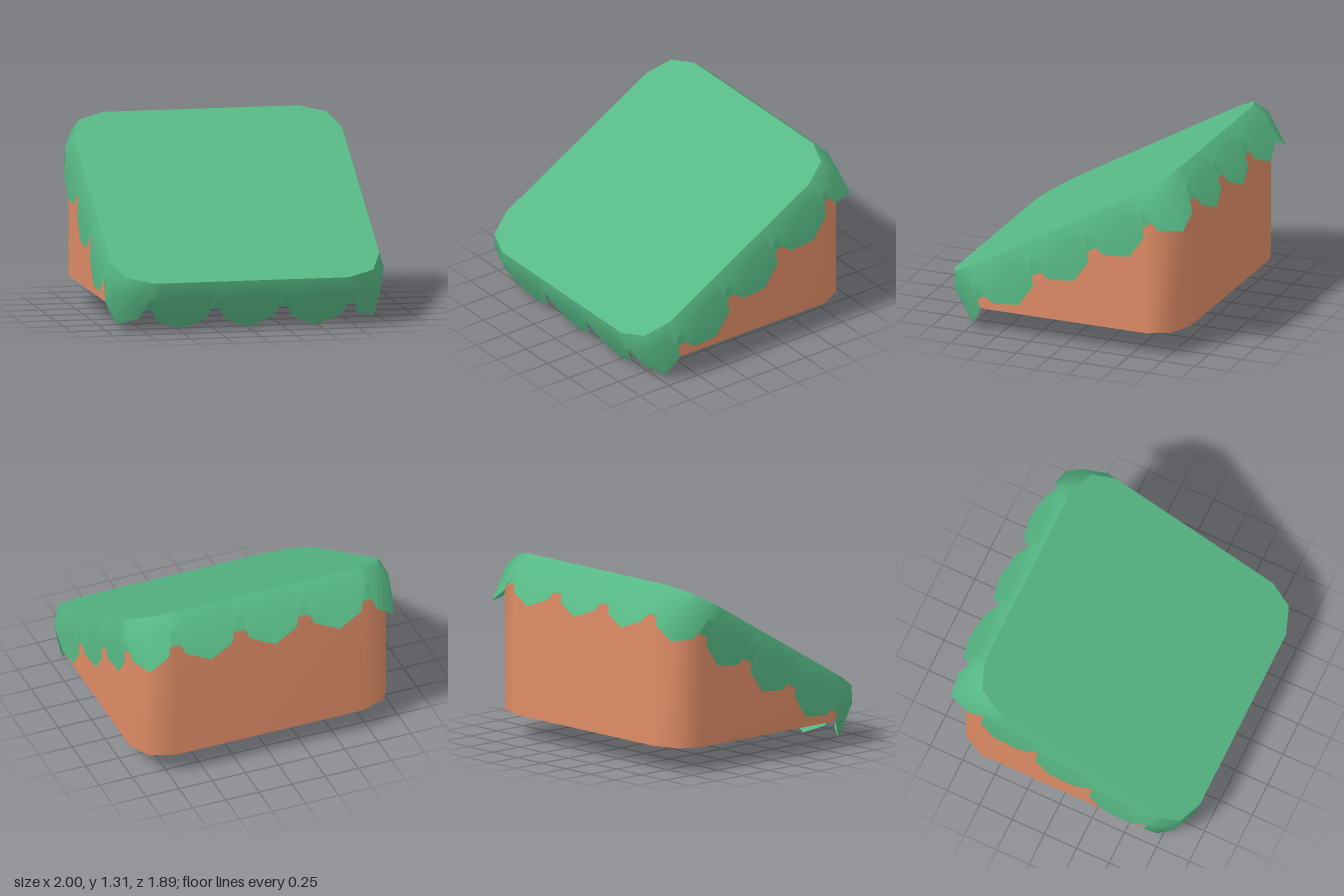
import * as THREE from 'three';

const SLOPE = Math.PI / 6;
const CENTRE_Y = 0.832, CENTRE_Z = 0.11;   // middle of the sloping top
const SLAB_DEPTH = 0.235, DIRT_BOTTOM = 0.18;

// Skirt hem along one side plus its corner: [x, z, depth]
function hemSide() {
  const notch = 0.13, shoulder = 0.3, tip = 0.38;
  const pts = [[-0.73, 1, notch]];
  for (const c of [-0.484, 0, 0.484]) {
    pts.push([c - 0.175, 1, shoulder], [c, 1, tip], [c + 0.175, 1, shoulder]);
    pts.push([c > 0.4 ? 0.73 : c + 0.242, 1, notch]);
  }
  pts.push([0.78, 0.979, shoulder], [0.92, 0.92, tip], [0.979, 0.78, shoulder]);
  return pts;
}

// Repeat a side four times, turning a quarter each time
function aroundSquare(side) {
  const out = [];
  let pts = side;
  for (let k = 0; k < 4; k++) {
    out.push(...pts);
    pts = pts.map(([x, z, d]) => [z, -x, d]);
  }
  return out;
}

function makeGeometry(points, index) {
  const g = new THREE.BufferGeometry();
  g.setAttribute('position', new THREE.Float32BufferAttribute(points.flat(), 3));
  g.setIndex(index);
  g.computeVertexNormals();
  return g;
}

// Smooth closed wall through rings listed from top to bottom
function wall(rings) {
  const n = rings[0].length, index = [];
  for (let r = 0; r < rings.length - 1; r++) {
    for (let i = 0; i < n; i++) {
      const j = (i + 1) % n;
      const a = r * n + i, b = r * n + j, c = a + n, d = b + n;
      index.push(c, d, b, c, b, a);
    }
  }
  return makeGeometry(rings.flat(), index);
}

// Flat face filling a convex ring
function face(ring, up) {
  const index = [];
  for (let i = 1; i < ring.length - 1; i++) {
    index.push(0, up ? i : i + 1, up ? i + 1 : i);
  }
  return makeGeometry(ring, index);
}

export function createModel() {
  const grass = new THREE.MeshStandardMaterial({ color: 0x57b985, side: THREE.DoubleSide });
  grass.name = 'grass green';
  const dirt = new THREE.MeshStandardMaterial({ color: 0xde8c66, side: THREE.DoubleSide });
  dirt.name = 'dirt brown';

  const model = new THREE.Group();
  model.name = 'grassySlopeBlock';
  const add = (parent, name, geometry, material) => {
    const mesh = new THREE.Mesh(geometry, material);
    mesh.name = name;
    parent.add(mesh);
  };

  const hem = aroundSquare(hemSide());
  const outline = aroundSquare([[-0.73, 1], [0.73, 1], [0.92, 0.92]]);
  const ringAt = (pts, scale, y) => pts.map(([x, z]) => [x * scale, y, z * scale]);

  // Grass cap, built flat and tilted to the slope
  const cap = new THREE.Group();
  cap.name = 'grassCap';
  cap.position.set(0, CENTRE_Y, CENTRE_Z);
  cap.rotation.x = SLOPE;
  model.add(cap);
  add(cap, 'grassTop', face(ringAt(outline, 0.96, 0), true), grass);
  add(cap, 'grassFringe', wall([
    ringAt(hem, 0.96, 0),
    ringAt(hem, 1, -0.114),
    hem.map(([x, z, d]) => [x, -d, z]),
  ]), grass);

  // Plain slab behind the fringe, seen through the notches
  add(cap, 'slabEdge', wall([
    ringAt(outline, 0.97, -0.1), ringAt(outline, 0.97, -SLAB_DEPTH),
  ]), grass);
  add(cap, 'slabUnderside', face(ringAt(outline, 0.97, -SLAB_DEPTH), false), grass);

  // Dirt drops straight down from the slab; the front ends where the slab meets its base
  const cos = Math.cos(SLOPE), sin = Math.sin(SLOPE);
  const frontLimit = (CENTRE_Y - SLAB_DEPTH * cos - DIRT_BOTTOM) / sin - 0.002;
  const dirtTop = outline.map(([x, z]) => {
    const u = Math.min(z * 0.967, frontLimit);
    return [x * 0.967,
      CENTRE_Y - u * sin - SLAB_DEPTH * cos,
      CENTRE_Z + u * cos - SLAB_DEPTH * sin];
  });
  const dirtBase = dirtTop.map(([x, , z]) => [x, DIRT_BOTTOM, z]);
  add(model, 'dirtSides', wall([dirtTop, dirtBase]), dirt);
  add(model, 'dirtBase', face(dirtBase, false), dirt);

  return model;
}
